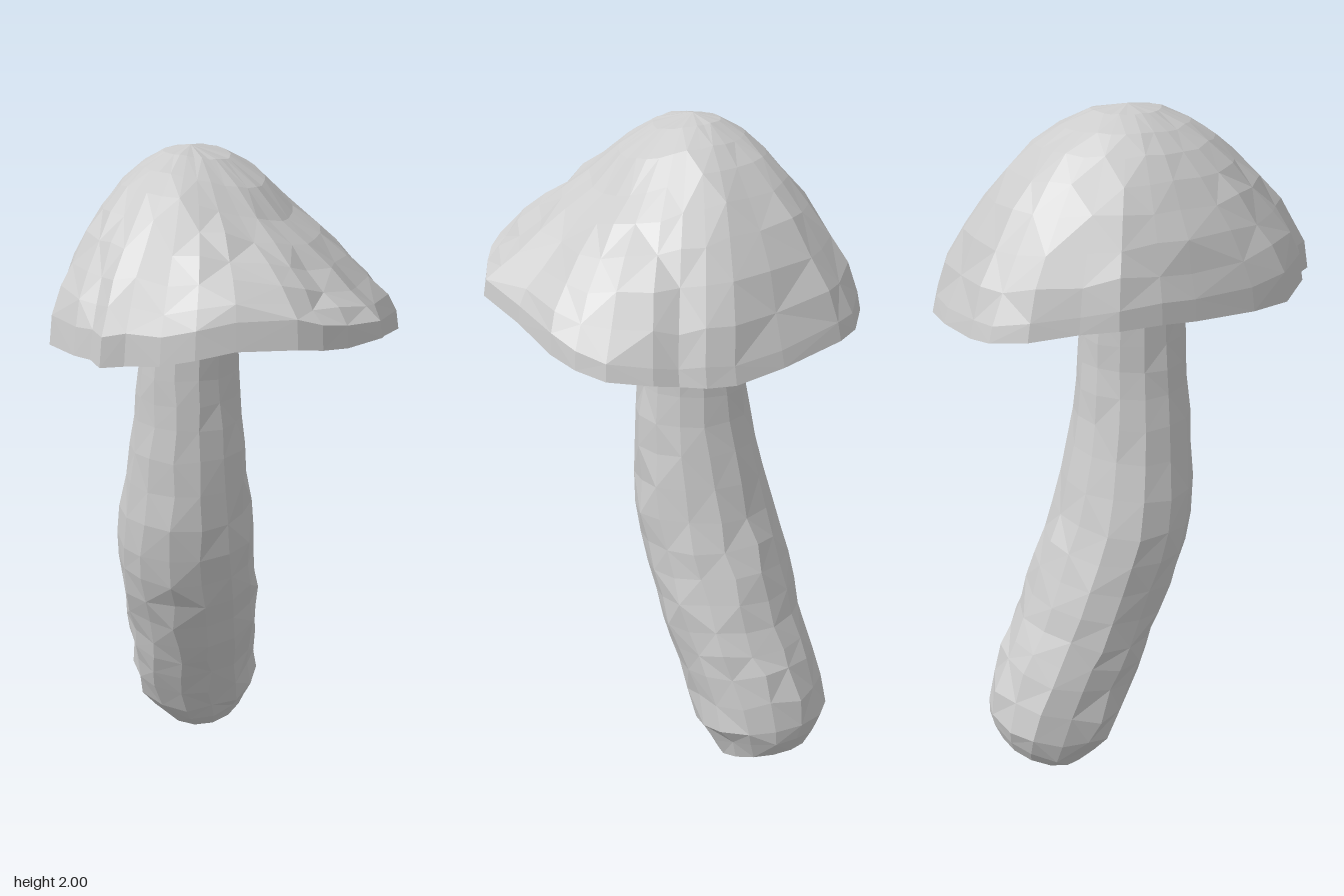
import * as THREE from 'three';

// Repeatable noise in -1..1
function makeNoise(seed) {
  let s = seed;
  return () => {
    s = (s * 16807) % 2147483647;
    return (s / 2147483647) * 2 - 1;
  };
}

// Closed skin through equal-sized rings (bottom to top), with a fan at each end
function skin(rings, bottom, top) {
  const n = rings[0].length;
  const last = (rings.length - 1) * n;
  const points = [...rings.flat(), bottom, top];
  const index = [];
  for (let j = 0; j < n; j++) {
    const k = (j + 1) % n;
    for (let i = 0; i < rings.length - 1; i++) {
      const a = i * n + j, b = i * n + k, c = a + n, d = b + n;
      if ((i + j) % 2) index.push(a, c, b, b, c, d);
      else index.push(a, c, d, a, d, b);
    }
    index.push(points.length - 2, j, k, last + k, last + j, points.length - 1);
  }
  const geometry = new THREE.BufferGeometry().setFromPoints(points);
  geometry.setIndex(index);
  geometry.computeVertexNormals();
  return geometry;
}

// Bent stem: each row is front z, front y, back z, back y, centre x, half width
const STEM = [
  [-0.17, 0.0, -0.43, 0.09, -0.22, 0.14],
  [-0.08, 0.11, -0.465, 0.2, -0.228, 0.2],
  [0.0, 0.28, -0.41, 0.37, -0.2, 0.205],
  [0.06, 0.42, -0.35, 0.5, -0.178, 0.215],
  [0.13, 0.6, -0.29, 0.66, -0.16, 0.217],
  [0.185, 0.78, -0.23, 0.82, -0.143, 0.215],
  [0.187, 1.0, -0.178, 1.02, -0.12, 0.187],
  [0.175, 1.2, -0.15, 1.2, -0.11, 0.162],
  [0.165, 1.35, -0.14, 1.35, -0.107, 0.147],
  [0.155, 1.51, -0.13, 1.5, -0.107, 0.142],
];

function stemGeometry() {
  const noise = makeNoise(71);
  const front = new THREE.CatmullRomCurve3(STEM.map((r) => new THREE.Vector3(r[4], r[1], r[0])));
  const back = new THREE.CatmullRomCurve3(STEM.map((r) => new THREE.Vector3(r[4], r[3], r[2])));
  const sides = 14, steps = 18;
  const rings = [];
  for (let i = 0; i <= steps; i++) {
    const t = i / steps;
    const f = front.getPoint(t), b = back.getPoint(t);
    const u = t * (STEM.length - 1), k = Math.min(Math.floor(u), STEM.length - 2);
    const halfWidth = THREE.MathUtils.lerp(STEM[k][5], STEM[k + 1][5], u - k);
    const rough = i === 0 ? 0 : 0.011 * (1 - 0.7 * t);
    rings.push(Array.from({ length: sides }, (_, j) => {
      const a = (j / sides) * Math.PI * 2;
      const p = b.clone().lerp(f, 0.5 + 0.5 * Math.sin(a) * (1 + noise() * rough * 4));
      p.x += Math.cos(a) * halfWidth + noise() * rough;
      p.y += noise() * rough;
      return p;
    }));
  }
  return skin(rings, new THREE.Vector3(-0.21, 0.015, -0.27), new THREE.Vector3(-0.105, 1.5, 0.01));
}

// Lower lip of the cap: x, y, z
const RIM = [
  [0.51, 1.53, 0.07], [0.46, 1.53, 0.2], [0.42, 1.54, 0.28], [0.37, 1.55, 0.335],
  [0.23, 1.55, 0.42], [0.14, 1.53, 0.475], [0.05, 1.51, 0.5], [-0.05, 1.5, 0.51],
  [-0.11, 1.495, 0.535], [-0.16, 1.5, 0.495], [-0.22, 1.5, 0.48], [-0.35, 1.49, 0.39],
  [-0.4, 1.49, 0.28], [-0.46, 1.5, 0.1], [-0.49, 1.51, 0], [-0.51, 1.51, -0.12],
  [-0.485, 1.5, -0.22], [-0.46, 1.48, -0.35], [-0.39, 1.46, -0.44], [-0.32, 1.45, -0.48],
  [-0.12, 1.42, -0.525], [0.03, 1.4, -0.54], [0.11, 1.4, -0.525], [0.17, 1.4, -0.485],
  [0.24, 1.41, -0.475], [0.35, 1.42, -0.42], [0.41, 1.44, -0.355], [0.445, 1.46, -0.27],
  [0.465, 1.49, -0.08],
];

// Dome: radius fraction, height fraction on the round side, height on the sloping +x side
const DOME = [
  [0.94, 0.17, 0.1], [0.85, 0.34, 0.21], [0.74, 0.51, 0.33], [0.62, 0.66, 0.46],
  [0.49, 0.79, 0.59], [0.35, 0.89, 0.78], [0.19, 0.97, 0.93],
];

function capGeometry() {
  const noise = makeNoise(1234);
  const lip = RIM.map((p) => new THREE.Vector3(...p));
  const under = new THREE.Vector3(-0.1, 1.49, 0.01);
  const apex = new THREE.Vector3(-0.1, 2, 0);
  // Rolled edge, thicker towards the front
  const edge = lip.map((p) => new THREE.Vector3(
    p.x * 0.985,
    p.y + 0.05 + 0.035 * Math.max(0, p.z / 0.54) + noise() * 0.008,
    p.z * 0.975,
  ));
  const rings = [0.35, 0.7].map((t) => lip.map((p) => {
    const q = under.clone().lerp(p, t);
    q.y += noise() * 0.006;
    return q;
  }));
  rings.push(lip, edge);
  for (const [r, round, slope] of DOME) {
    rings.push(edge.map((p, j) => {
      // The ragged outline evens out to a circle towards the top
      const a = (j / edge.length) * Math.PI * 2 + 0.1;
      const q = new THREE.Vector3(Math.cos(a) * 0.5, 1.53, Math.sin(a) * 0.51).lerp(p, r * r);
      const lean = Math.max(0, (q.x - apex.x) / Math.hypot(q.x - apex.x, q.z)) ** 2;
      const h = THREE.MathUtils.lerp(round, slope, lean);
      const y = THREE.MathUtils.lerp(q.y, apex.y, h);
      q.lerp(apex, 1 - r * (1 + noise() * 0.018));
      q.y = Math.min(apex.y, y + noise() * 0.011 * r);
      return q;
    }));
  }
  return skin(rings, under, apex);
}

export function createModel() {
  const group = new THREE.Group();
  group.name = 'mushroom';
  const material = new THREE.MeshStandardMaterial({ color: 0xcccccc, flatShading: true });
  const stem = new THREE.Mesh(stemGeometry(), material);
  stem.name = 'stem';
  const cap = new THREE.Mesh(capGeometry(), material);
  cap.name = 'cap';
  group.add(stem, cap);
  return group;
}
